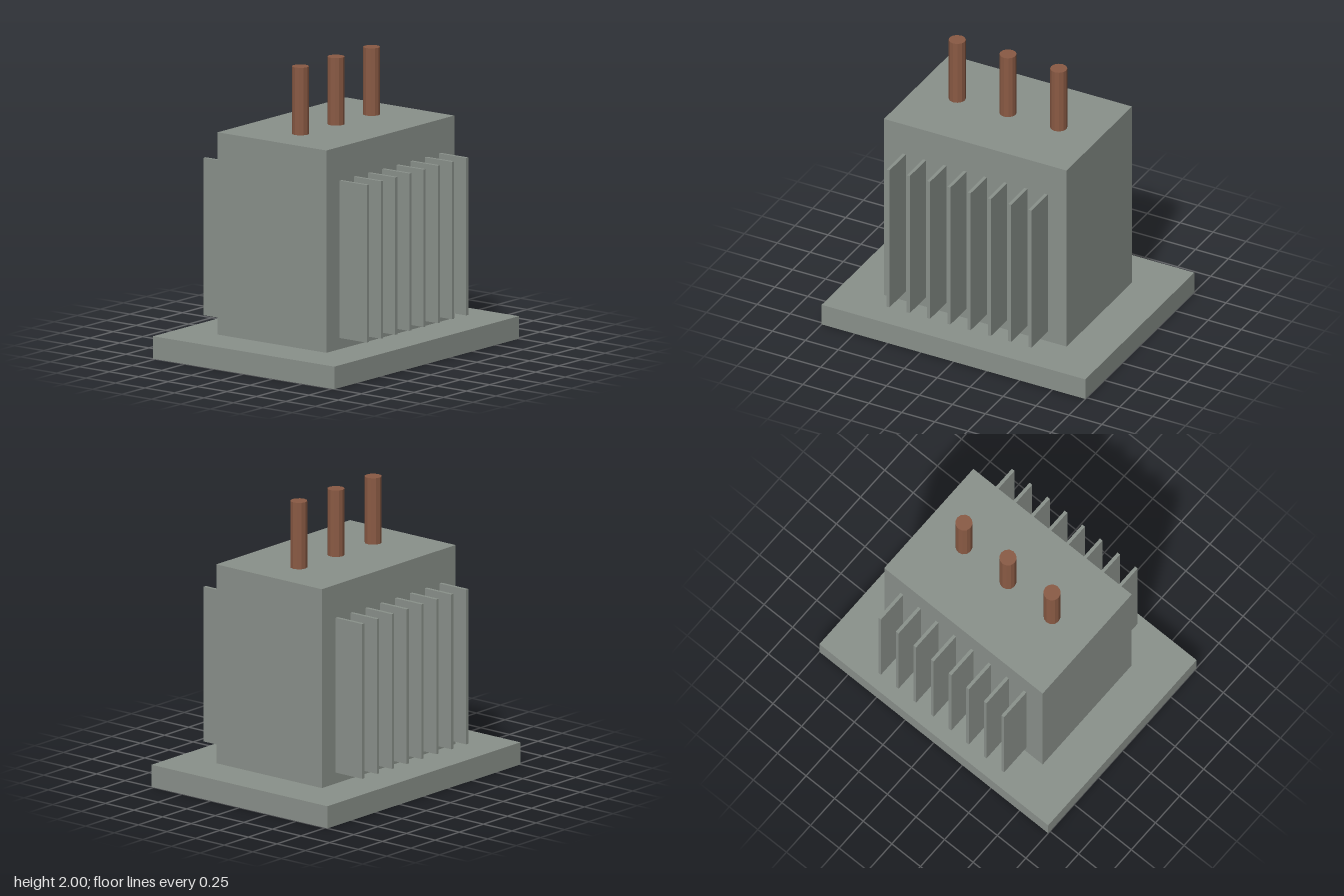
import * as THREE from 'three';

export function createModel() {
  const model = new THREE.Group();
  model.name = 'transformer';

  const paintedSteel = new THREE.MeshStandardMaterial({ color: 0x8a918b });
  paintedSteel.name = 'grey painted steel';
  const bushingBrown = new THREE.MeshStandardMaterial({ color: 0x8a5a44, flatShading: true });
  bushingBrown.name = 'bushing brown';

  const add = (name, geometry, material, x, y, z) => {
    const mesh = new THREE.Mesh(geometry, material);
    mesh.name = name;
    mesh.position.set(x, y, z);
    model.add(mesh);
  };

  const baseTop = 0.154, tankTop = 1.538, tankFront = 0.4615;

  // Base slab and tank
  add('base', new THREE.BoxGeometry(2, baseTop, 1.538), paintedSteel, 0, baseTop / 2, 0);
  add('tank', new THREE.BoxGeometry(1.385, tankTop - baseTop, tankFront * 2), paintedSteel,
    0, (baseTop + tankTop) / 2, 0);

  // Cooling fins, eight on the front and eight on the back
  const fin = new THREE.BoxGeometry(0.023, 1.077, 0.231);
  for (const side of [1, -1]) {
    for (let i = 0; i < 8; i++) {
      add('coolingFin', fin, paintedSteel, (i - 3.5) * 0.1538, 0.769, side * (tankFront + 0.1155));
    }
  }

  // Three bushings along the top
  const bushing = new THREE.CylinderGeometry(0.0577, 0.0577, 2 - tankTop, 12);
  for (const x of [-0.385, 0, 0.385]) {
    add('bushing', bushing, bushingBrown, x, (2 + tankTop) / 2, 0);
  }

  return model;
}
